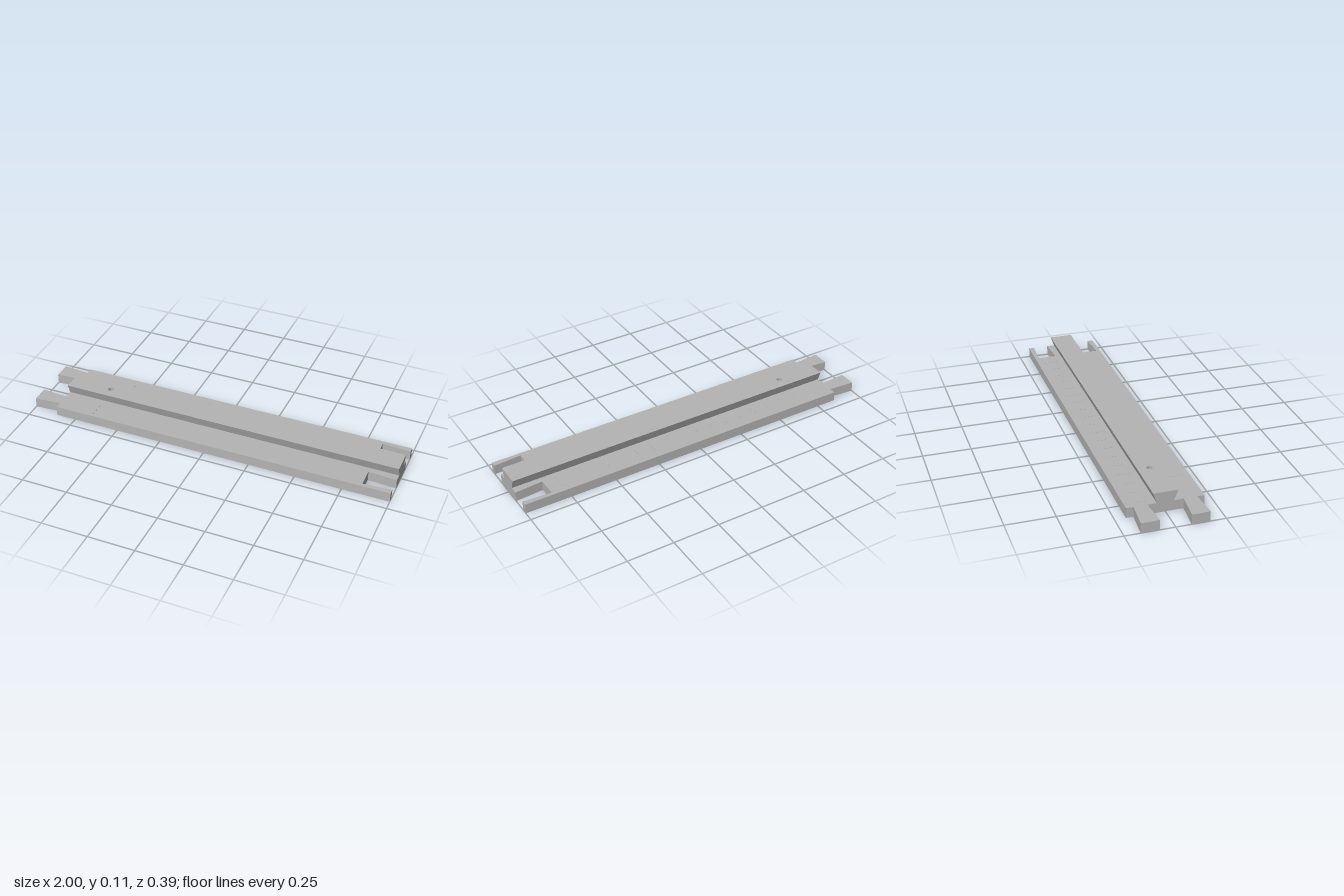
import * as THREE from 'three';

const BASE_H = 0.053, TOP_H = 0.107, HALF_W = 0.195, BODY_X = -0.858;

export function createModel() {
  const model = new THREE.Group();
  const grey = new THREE.MeshStandardMaterial({ color: 0xb4b4b4 });
  grey.name = 'plain grey';

  const add = (name, geometry, parent = model) => {
    const mesh = new THREE.Mesh(geometry, grey);
    mesh.name = name;
    parent.add(mesh);
    return mesh;
  };

  // Flat base: half outline with dovetail tab and matching socket, mirrored across z
  const half = [
    [1, 0], [1, 0.085], [0.85, 0.074], [0.85, 0.176], [1, 0.165], [1, HALF_W],
    [BODY_X, HALF_W], [BODY_X, 0.158], [-1, 0.17], [-1, 0.078], [BODY_X, 0.09], [BODY_X, 0],
  ];
  const mirrored = half.slice(1, -1).reverse().map(([x, z]) => [x, -z]);
  const outline = [...half, ...mirrored].map(([x, z]) => new THREE.Vector2(x, z));
  const base = new THREE.ExtrudeGeometry(new THREE.Shape(outline), { depth: BASE_H, bevelEnabled: false });
  base.rotateX(-Math.PI / 2);
  add('base', base);

  // Dovetail rail: flared sides and ends, open where the top plate and base close it
  const rail = new THREE.Group();
  rail.name = 'rail';
  model.add(rail);
  const lo = 0.043, hi = 0.062;
  const corner = (x, z, y) => [x, y, z];
  const quads = [
    [corner(BODY_X, lo, BASE_H), corner(1, lo, BASE_H), corner(1, hi, TOP_H), corner(BODY_X, hi, TOP_H)],
    [corner(1, -lo, BASE_H), corner(BODY_X, -lo, BASE_H), corner(BODY_X, -hi, TOP_H), corner(1, -hi, TOP_H)],
    [corner(1, lo, BASE_H), corner(1, -lo, BASE_H), corner(1, -hi, TOP_H), corner(1, hi, TOP_H)],
    [corner(BODY_X, -lo, BASE_H), corner(BODY_X, lo, BASE_H), corner(BODY_X, hi, TOP_H), corner(BODY_X, -hi, TOP_H)],
  ];
  const positions = quads.flatMap(([a, b, c, d]) => [...a, ...b, ...c, ...a, ...c, ...d]);
  const walls = new THREE.BufferGeometry();
  walls.setAttribute('position', new THREE.Float32BufferAttribute(positions, 3));
  walls.computeVertexNormals();
  add('railWalls', walls, rail);

  // Rail top with a small round hole
  const holeX = -0.625, holeR = 0.015, holeDepth = 0.04;
  const top = new THREE.Shape([
    new THREE.Vector2(BODY_X, -hi), new THREE.Vector2(1, -hi),
    new THREE.Vector2(1, hi), new THREE.Vector2(BODY_X, hi),
  ]);
  top.holes.push(new THREE.Path().absarc(holeX, 0, holeR, 0, Math.PI * 2, true));
  add('railTop', new THREE.ShapeGeometry(top, 16).rotateX(-Math.PI / 2).translate(0, TOP_H, 0), rail);

  const bore = new THREE.CylinderGeometry(holeR, holeR, holeDepth, 32, 1, true);
  bore.scale(-1, 1, 1); // mirrored so the wall faces inward
  bore.computeVertexNormals();
  add('holeWall', bore, rail).position.set(holeX, TOP_H - holeDepth / 2, 0);
  add('holeFloor', new THREE.CircleGeometry(holeR, 32).rotateX(-Math.PI / 2), rail)
    .position.set(holeX, TOP_H - holeDepth, 0);

  // Scale marks: four long ones at the back with short ones between, one at the front
  const marks = new THREE.Group();
  marks.name = 'scaleMarks';
  model.add(marks);
  const mark = (x, z, length) =>
    add('mark', new THREE.BoxGeometry(0.006, 0.001, length), marks).position.set(x, BASE_H + 0.0005, z);
  for (let i = 0; i < 19; i++) {
    const x = 0.775 - i * 0.0888;
    if (i % 5 === 0) mark(x, -0.115, 0.09);
    else mark(x, -0.108, 0.05);
  }
  mark(-0.65, 0.125, 0.1);

  return model;
}
